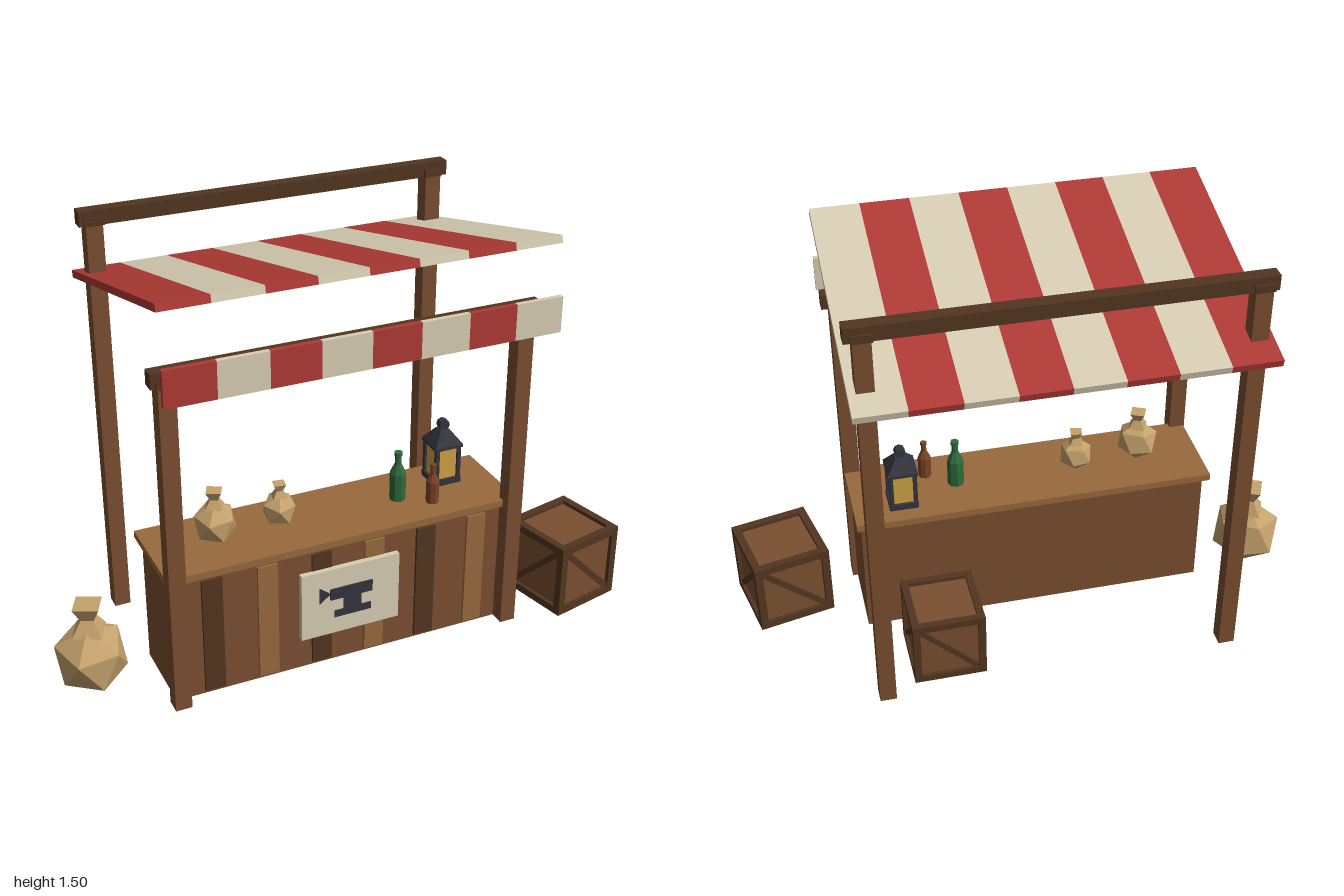
import * as THREE from 'three';

const mat = (name, color, flat = true) => {
  const m = new THREE.MeshStandardMaterial({ color, flatShading: flat });
  m.name = name;
  return m;
};

export function createModel() {
  const wood = mat('wood', 0x7a4f30);
  const darkWood = mat('dark wood', 0x523620);
  const lightWood = mat('light wood', 0x996a3d);
  const red = mat('red cloth', 0xb03a35);
  const cream = mat('cream cloth', 0xd8ceb4);
  const burlap = mat('burlap', 0xc4a26c);
  const green = mat('green glass', 0x2f6b3c);
  const amber = mat('amber glass', 0x7a4424);
  const iron = mat('iron', 0x34353d);
  const glow = mat('lantern glass', 0xd0a244);

  const root = new THREE.Group();
  root.name = 'marketStall';

  const add = (parent, name, geo, material, x = 0, y = 0, z = 0) => {
    const m = new THREE.Mesh(geo, material);
    m.name = name;
    m.position.set(x, y, z);
    parent.add(m);
    return m;
  };
  // Box given by its min and max on each axis
  const span = (parent, name, material, x0, x1, y0, y1, z0, z1) =>
    add(parent, name, new THREE.BoxGeometry(x1 - x0, y1 - y0, z1 - z0), material,
      (x0 + x1) / 2, (y0 + y1) / 2, (z0 + z1) / 2);
  const group = (name, x, y, z, ry = 0) => {
    const g = new THREE.Group();
    g.name = name;
    g.position.set(x, y, z);
    g.rotation.y = ry;
    root.add(g);
    return g;
  };

  // Posts with cross beams
  const X0 = -0.7, X1 = 0.605;
  for (const [side, z, top] of [['front', 0.317, 1.225], ['back', -0.338, 1.5]]) {
    for (const x of [-0.652, 0.552]) {
      span(root, side + 'Post', wood, x - 0.028, x + 0.028, 0.02, top - 0.03, z - 0.028, z + 0.028);
      span(root, side + 'PostCap', darkWood, x - 0.033, x + 0.033, top - 0.05, top - 0.024, z - 0.031, z + 0.031);
    }
    span(root, side + 'Beam', darkWood, X0, X1, top - 0.05, top, z - 0.023, z + 0.023);
  }

  // Striped awning and hanging valance
  const awning = group('awning', 0, 1.356, -0.012);
  awning.rotation.x = -0.2437;
  const w = (X1 - X0) / 8;
  for (let i = 0; i < 8; i++) {
    const a = X0 + i * w, cloth = i % 2 ? cream : red;
    span(awning, 'awningStripe', cloth, a, a + w, -0.0125, 0.0125, -0.452, 0.452);
    span(root, 'valanceStripe', cloth, a, a + w, 1.166, 1.286, 0.438, 0.455);
  }

  // Counter with raised planks
  span(root, 'counterBody', wood, -0.66, 0.562, 0.02, 0.475, 0.015, 0.292);
  span(root, 'counterTop', lightWood, -0.677, 0.578, 0.475, 0.5, -0.015, 0.312);
  for (let i = 0; i < 6; i++) {
    const x = -0.525 + i * 0.191;
    span(root, 'counterPlank', i % 2 ? lightWood : darkWood, x - 0.035, x + 0.035, 0.033, 0.458, 0.285, 0.302);
  }

  // Sign board with an anvil silhouette
  span(root, 'signBoard', cream, -0.225, 0.13, 0.146, 0.396, 0.3, 0.32);
  const anvil = group('anvilSign', 0, 0, 0.316);
  span(anvil, 'anvilTop', iron, -0.123, 0.03, 0.28, 0.322, 0, 0.009);
  span(anvil, 'anvilWaist', iron, -0.075, -0.01, 0.225, 0.285, 0, 0.008);
  span(anvil, 'anvilFoot', iron, -0.108, 0.025, 0.21, 0.235, 0, 0.009);
  const horn = new THREE.Shape([[-0.162, 0.276], [-0.123, 0.306], [-0.162, 0.336]]
    .map(p => new THREE.Vector2(...p)));
  add(anvil, 'anvilHorn', new THREE.ExtrudeGeometry(horn, { depth: 0.009, bevelEnabled: false }), iron);

  // Crates: inset panels, edge frame and a brace on each side
  const crate = (s, x, z, ry) => {
    const g = group('crate', x, 0.02 + s / 2, z, ry);
    const t = s * 0.1, h = (s - t) / 2, p = s - t;
    add(g, 'cratePanels', new THREE.BoxGeometry(p, p, p), wood);
    for (const a of [-h, h]) for (const b of [-h, h]) {
      add(g, 'crateEdge', new THREE.BoxGeometry(s, t, t), darkWood, 0, a, b);
      add(g, 'crateEdge', new THREE.BoxGeometry(t, s, t), darkWood, a, 0, b);
      add(g, 'crateEdge', new THREE.BoxGeometry(t, t, s), darkWood, a, b, 0);
    }
    for (let i = 0; i < 4; i++) {
      const face = new THREE.Group();
      face.name = 'crateSide';
      face.rotation.y = i * Math.PI / 2;
      g.add(face);
      const brace = add(face, 'crateBrace', new THREE.BoxGeometry(p * 1.22, t * 0.75, t * 0.5),
        darkWood, 0, 0, h + t * 0.1);
      brace.rotation.z = (i % 2 ? 1 : -1) * Math.PI / 4;
    }
  };
  crate(0.272, 0.833, 0.235, 0.22);
  crate(0.25, 0.325, -0.185, 0);

  // Tied sacks: faceted body, pinched neck and flared mouth
  const sack = (r, x, y, z, ry) => {
    const g = group('sack', x, y, z, ry);
    const body = add(g, 'sackBody', new THREE.IcosahedronGeometry(r * 1.03, 0), burlap, 0, r, 0);
    body.rotation.set(0.15, 0, -0.4);
    add(g, 'sackNeck', new THREE.CylinderGeometry(r * 0.24, r * 0.55, r * 0.42, 4), burlap, 0, r * 1.99, 0);
    add(g, 'sackMouth', new THREE.CylinderGeometry(r * 0.48, r * 0.24, r * 0.42, 4), burlap, 0, r * 2.4, 0);
  };
  sack(0.125, -0.878, 0.005, 0.085, 0.35);
  sack(0.073, -0.455, 0.5, 0.155, 0.35);
  sack(0.059, -0.225, 0.5, 0.14, 0.6);

  // Bottles
  const bottle = (name, material, r, h, x, z) => {
    const pts = [[0, 0], [r, 0], [r, h * 0.55], [r * 0.42, h * 0.75], [r * 0.38, h * 0.93],
      [r * 0.5, h * 0.93], [r * 0.5, h], [0, h]].map(([a, b]) => new THREE.Vector2(a, b));
    add(root, name, new THREE.LatheGeometry(pts, 8), material, x, 0.5, z);
  };
  bottle('greenBottle', green, 0.029, 0.178, 0.205, 0.15);
  bottle('amberBottle', amber, 0.023, 0.142, 0.303, 0.217);

  // Lantern
  const lantern = group('lantern', 0.405, 0.5, 0.09);
  add(lantern, 'lanternBase', new THREE.BoxGeometry(0.1, 0.022, 0.1), iron, 0, 0.011, 0);
  add(lantern, 'lanternGlass', new THREE.BoxGeometry(0.08, 0.125, 0.08), glow, 0, 0.08, 0);
  for (const a of [-0.041, 0.041]) for (const b of [-0.041, 0.041])
    add(lantern, 'lanternBar', new THREE.BoxGeometry(0.014, 0.13, 0.014), iron, a, 0.08, b);
  add(lantern, 'lanternTop', new THREE.BoxGeometry(0.104, 0.012, 0.104), iron, 0, 0.143, 0);
  const roof = add(lantern, 'lanternRoof', new THREE.CylinderGeometry(0.024, 0.074, 0.048, 4), iron, 0, 0.172, 0);
  roof.rotation.y = Math.PI / 4;
  add(lantern, 'lanternCollar', new THREE.BoxGeometry(0.022, 0.016, 0.022), iron, 0, 0.2, 0);
  const knob = add(lantern, 'lanternRing', new THREE.CylinderGeometry(0.019, 0.019, 0.028, 8), iron, 0, 0.213, 0);
  knob.rotation.x = Math.PI / 2;

  return root;
}
